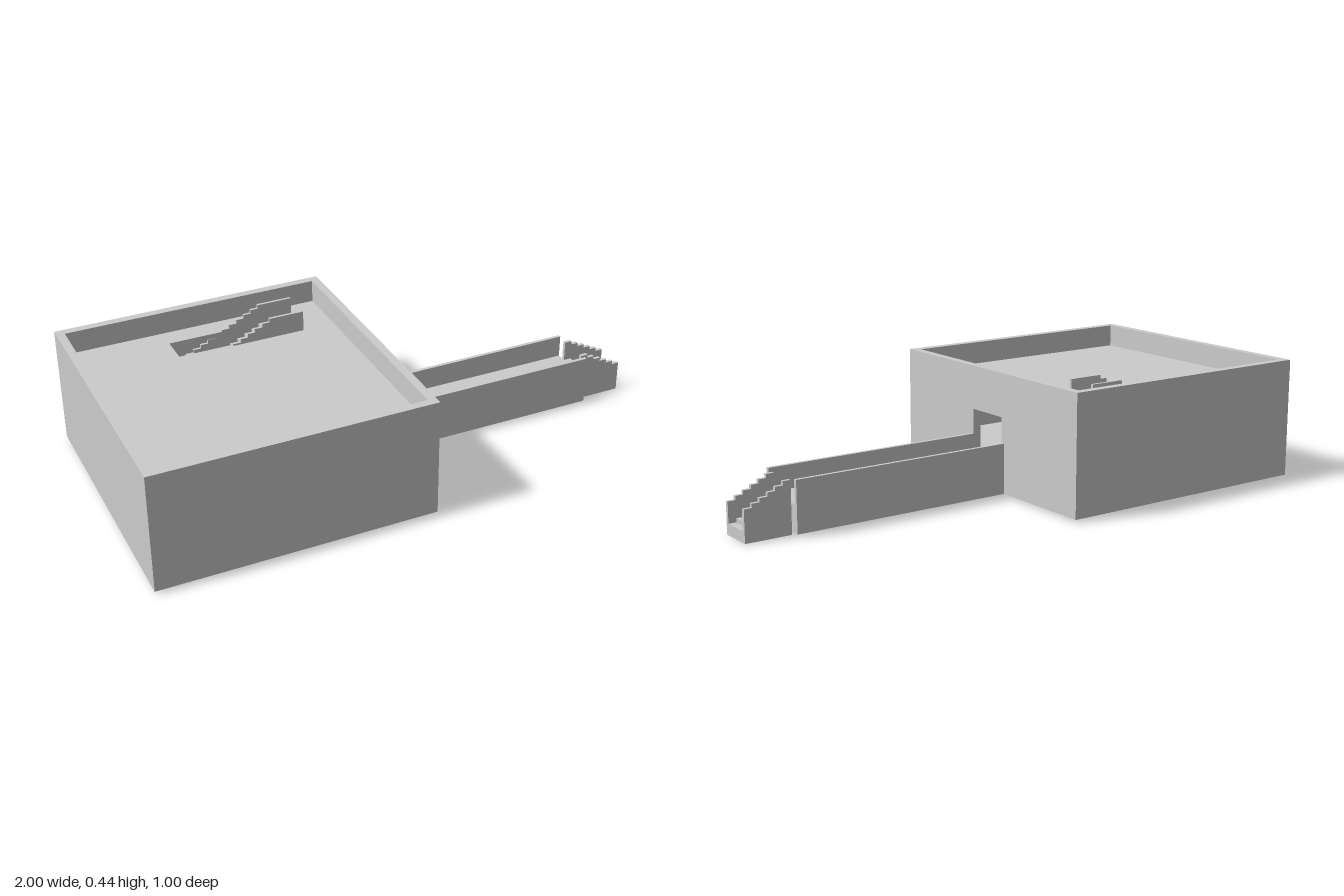
import * as THREE from 'three';

const mat = new THREE.MeshStandardMaterial({ color: 0xcccccc, flatShading: true });

export function createModel() {
  const root = new THREE.Group();

  function add(parent, geometry, name) {
    const mesh = new THREE.Mesh(geometry, mat);
    mesh.name = name;
    parent.add(mesh);
    return mesh;
  }

  // Box given by its minimum and maximum on each axis
  function block(parent, name, x0, x1, y0, y1, z0, z1) {
    const mesh = add(parent, new THREE.BoxGeometry(x1 - x0, y1 - y0, z1 - z0), name);
    mesh.position.set((x0 + x1) / 2, (y0 + y1) / 2, (z0 + z1) / 2);
  }

  const polygon = (points) => new THREE.Shape(points.map(([x, y]) => new THREE.Vector2(x, y)));
  const extrude = (shape, depth) => new THREE.ExtrudeGeometry(shape, { depth, bevelEnabled: false });

  // Solid stair profile in x/y: treads start at x0, y0 and rise or fall, with an optional landing
  function stairShape(x0, y0, count, run, rise, landing, bottom) {
    const pts = [[x0, bottom]];
    for (let i = 0; i < count; i++) {
      const y = y0 + i * rise;
      pts.push([x0 + i * run, y], [x0 + (i + 1) * run, y]);
    }
    const end = x0 + count * run;
    if (landing) {
      pts.push([end, y0 + count * rise], [end + landing, y0 + count * rise]);
    }
    pts.push([end + landing, bottom]);
    return polygon(pts);
  }

  // Treads between two stepped side rails
  function stairs(name, z0, z1, rail, x0, y0, count, run, rise, landing, bottom) {
    const group = new THREE.Group();
    group.name = name;
    const treads = stairShape(x0, y0, count, run, rise, landing, bottom);
    const side = stairShape(x0, y0 + 0.075, count, run, rise, landing, bottom);
    add(group, extrude(treads, z1 - z0 - 2 * rail), 'treads').position.z = z0 + rail;
    for (const z of [z0, z1 - rail]) add(group, extrude(side, rail), 'stairRail').position.z = z;
    root.add(group);
  }

  // Building walls, open below the floor and rising past the roof as a parapet
  const building = new THREE.Group();
  building.name = 'building';
  root.add(building);
  const t = 0.03, base = 0.01, top = 0.443;
  block(building, 'backWall', -1, 0, base, top, -0.5, -0.5 + t);
  block(building, 'frontWall', -1, 0, base, top, 0.5 - t, 0.5);
  block(building, 'endWall', -1, -1 + t, base, top, -0.5 + t, 0.5 - t);

  // Entrance wall with a doorway
  const w = 0.5 - t;
  const wall = polygon([[-w, base], [w, base], [w, top], [-w, top]]);
  wall.holes.push(polygon([[-0.085, 0.11], [-0.085, 0.285], [0.085, 0.285], [0.085, 0.11]]));
  const doorWall = add(building, extrude(wall, t), 'entranceWall');
  doorWall.rotation.y = Math.PI / 2;
  doorWall.position.x = -t;

  // Floor, and roof with a stairwell opening
  block(building, 'floor', -1 + t, -t, 0.1, 0.11, -w, w);
  const roof = polygon([[-1 + t, -w], [-t, -w], [-t, w], [-1 + t, w]]);
  roof.holes.push(polygon([[-0.62, 0.285], [-0.62, 0.39], [-0.28, 0.39], [-0.28, 0.285]]));
  const roofMesh = add(building, extrude(roof, 0.02), 'roof');
  roofMesh.rotation.x = -Math.PI / 2;
  roofMesh.position.y = 0.34;

  // Straight flight from the floor to the roof
  stairs('roofStairs', -0.4, -0.275, 0.01, -0.784, 0.111, 18, 0.028, 0.0139, 0.13, 0.02);

  // U-shaped passage leading to the flight
  const passage = new THREE.Group();
  passage.name = 'passage';
  root.add(passage);
  block(passage, 'passageLanding', -0.9, -0.784, 0.02, 0.112, -0.4, 0);
  block(passage, 'passageOuterRail', -0.91, -0.9, 0.02, 0.185, -0.4, 0);
  block(passage, 'passageStart', -0.784, -0.45, 0.02, 0.185, -0.125, 0);

  // Walkway with side walls
  const walkway = new THREE.Group();
  walkway.name = 'walkway';
  root.add(walkway);
  block(walkway, 'walkwayDeck', 0, 0.83, base, 0.11, -0.087, 0.087);
  for (const s of [-1, 1]) {
    block(walkway, 'walkwayWall', 0, 0.83, base, 0.193, s > 0 ? 0.087 : -0.1, s > 0 ? 0.1 : -0.087);
  }

  // Steps down to the ground
  stairs('entranceSteps', -0.063, 0.063, 0.013, 0.83, 0.11, 6, 0.17 / 6, -0.014, 0, 0);

  return root;
}
